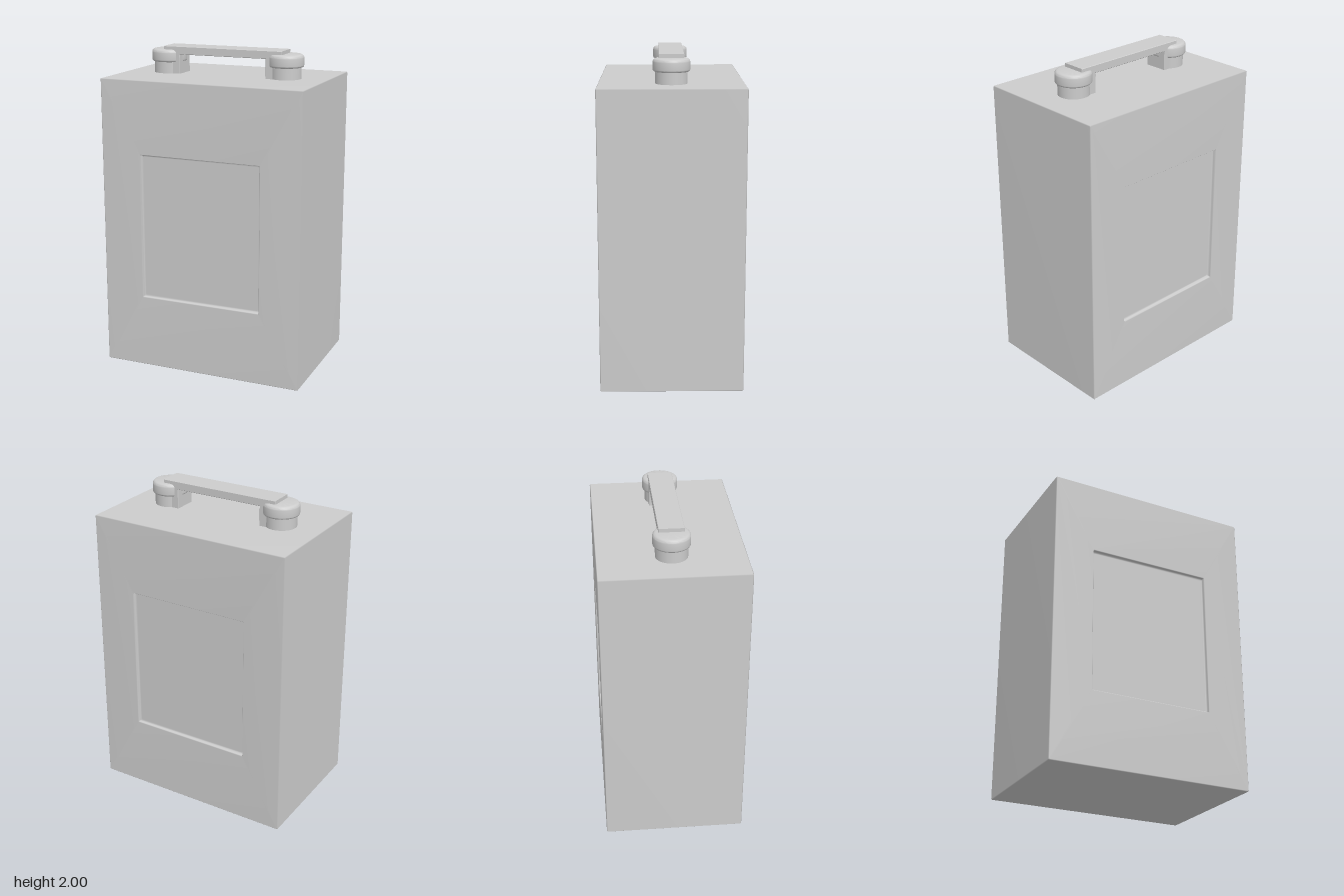
import * as THREE from 'three';
import { toCreasedNormals } from 'three/addons/utils/BufferGeometryUtils.js';

const grey = new THREE.MeshStandardMaterial({ color: 0xcccccc });
grey.name = 'grey';

const H = 1.83; // height of the can body

// Closed loft through rectangular rings with clipped corners, running front to back.
function loftRings(rings) {
  const pos = [], index = [], n = 8;
  for (const [hw, y0, y1, z] of rings) {
    const c = 0.005;
    pos.push(
      hw, y0 + c, z, hw, y1 - c, z, hw - c, y1, z, -hw + c, y1, z,
      -hw, y1 - c, z, -hw, y0 + c, z, -hw + c, y0, z, hw - c, y0, z);
  }
  for (let r = 0; r < rings.length - 1; r++) {
    for (let k = 0; k < n; k++) {
      const a = r * n + k, b = r * n + (k + 1) % n;
      index.push(a, a + n, b, b, a + n, b + n);
    }
  }
  const last = (rings.length - 1) * n;
  for (let k = 1; k < n - 1; k++) {
    index.push(0, k, k + 1, last, last + k + 1, last + k);
  }
  const g = new THREE.BufferGeometry();
  g.setAttribute('position', new THREE.Float32BufferAttribute(pos, 3));
  g.setIndex(index);
  g.computeVertexNormals();
  return g;
}

export function createModel() {
  const model = new THREE.Group();
  const add = (name, geometry, x = 0) => {
    const mesh = new THREE.Mesh(geometry, grey);
    mesh.name = name;
    mesh.position.x = x;
    model.add(mesh);
  };

  // Body: softly bevelled box with a shallow recessed panel front and back
  const half = [
    [0.378, 0.47, 1.362, 0.41],
    [0.385, 0.463, 1.369, 0.41],
    [0.39, 0.458, 1.374, 0.415],
    [0.39, 0.458, 1.374, 0.427],
    [0.394, 0.454, 1.378, 0.432],
    [0.645, 0.005, H - 0.005, 0.432],
    [0.65, 0, H, 0.427],
  ];
  const back = half.map(([w, a, b, z]) => [w, a, b, -z]).reverse();
  add('body', loftRings([...half, ...back]));

  // Handle: flat bar on two short legs
  const b = 0.003, out = 0.39 - b, inn = 0.285 + b;
  const u = new THREE.Shape([
    [-out, H - 0.01], [-inn, H - 0.01], [-inn, 1.95 + b], [inn, 1.95 + b],
    [inn, H - 0.01], [out, H - 0.01], [out, 2 - b], [-out, 2 - b],
  ].map(([x, y]) => new THREE.Vector2(x, y)));
  const handle = new THREE.ExtrudeGeometry(u, {
    depth: 0.15 - 2 * b, bevelEnabled: true, bevelThickness: b, bevelSize: b, bevelSegments: 1,
  });
  handle.translate(0, 0, -0.075 + b);
  add('handle', toCreasedNormals(handle, 0.6));

  // Filler necks with rounded caps at both ends of the handle
  const cap = [new THREE.Vector2(0, 1.9)];
  const corner = (r, y, rad, from) => {
    for (let i = 0; i <= 5; i++) {
      const t = from + (i / 5) * Math.PI / 2;
      cap.push(new THREE.Vector2(r + rad * Math.cos(t), y + rad * Math.sin(t)));
    }
  };
  corner(0.097, 1.913, 0.013, -Math.PI / 2);
  corner(0.088, 1.956, 0.022, 0);
  cap.push(new THREE.Vector2(0, 1.978));
  const capGeometry = toCreasedNormals(new THREE.LatheGeometry(cap, 48), 0.6);
  const neckGeometry = new THREE.CylinderGeometry(0.095, 0.095, 0.08, 48);
  neckGeometry.translate(0, H + 0.035, 0);
  for (const [side, x] of [['left', 0.39], ['right', -0.39]]) {
    add(side + 'Neck', neckGeometry, x);
    add(side + 'Cap', capGeometry, x);
  }

  return model;
}
